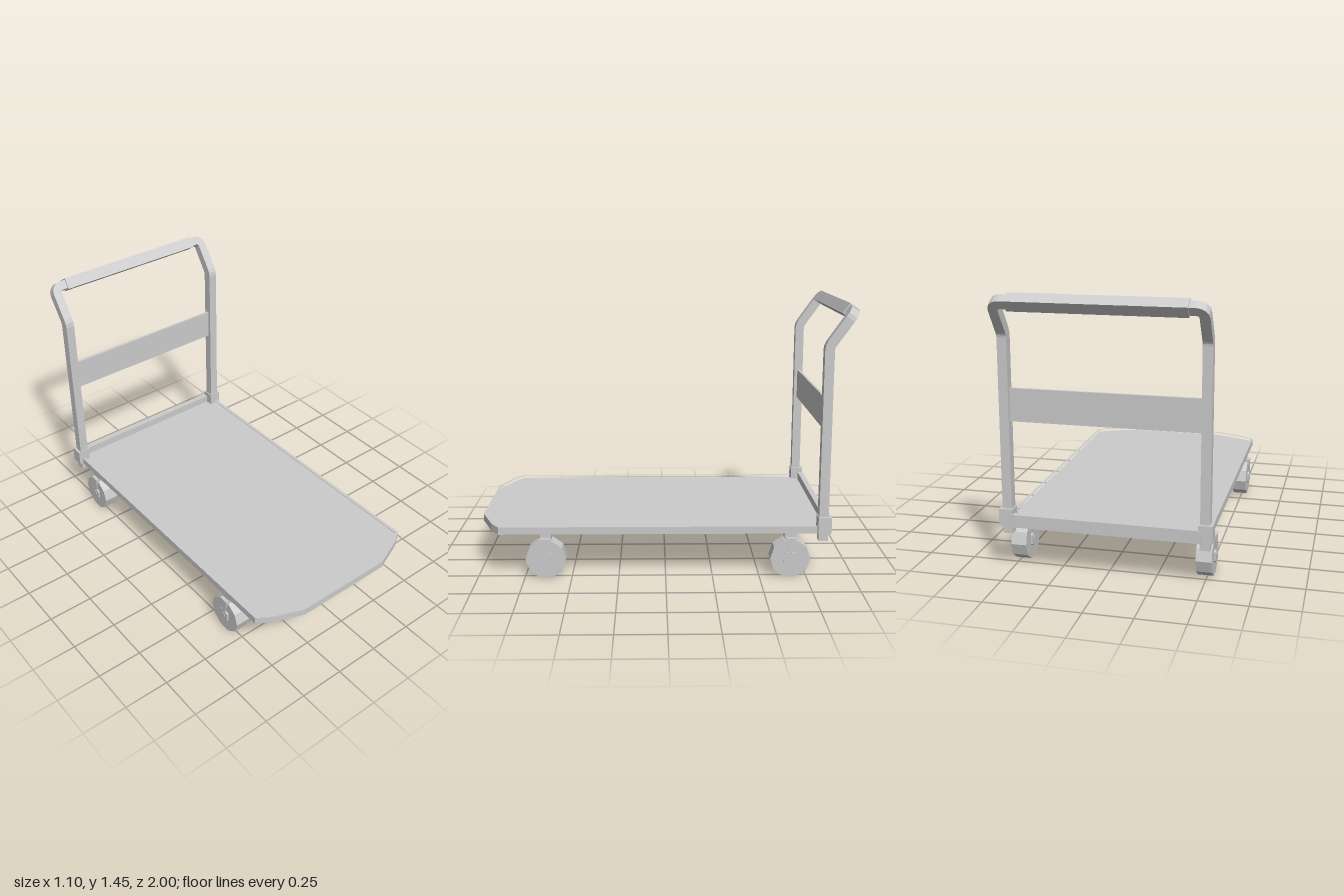
import * as THREE from 'three';

const grey = new THREE.MeshStandardMaterial({ color: 0xcccccc, flatShading: true });
const LEAN = 0.615; // backward tilt of the upper handle
const POST_X = 0.51, POST_Z = -0.835;

function part(name, geometry, x = 0, y = 0, z = 0) {
  const mesh = new THREE.Mesh(geometry, grey);
  mesh.name = name;
  mesh.position.set(x, y, z);
  return mesh;
}

const box = (name, w, h, d, x, y, z) => part(name, new THREE.BoxGeometry(w, h, d), x, y, z);

// Plan outline of the deck, pulled in by a margin
function deckOutline(m, front) {
  const half = [[0.527 - m, -0.865 + m], [0.527 - m, 0.885 - m * 0.5], [0.46 - m * 0.5, 0.93 - m], [0.285, 1 - front]];
  const mirrored = half.map(([x, z]) => [-x, z]).reverse();
  return [...half, ...mirrored].map(([x, z]) => new THREE.Vector2(x, -z));
}

function slab(shape, height) {
  return new THREE.ExtrudeGeometry(shape, { depth: height, bevelEnabled: false }).rotateX(-Math.PI / 2);
}

// Square tube swept through rings, each with a centre c and section axes u, v
function sweepSquare(rings, half) {
  const pos = [], index = [];
  for (const { c, u, v } of rings) {
    for (const [a, b] of [[1, -1], [1, 1], [-1, 1], [-1, -1]]) {
      const p = c.clone().addScaledVector(u, a * half).addScaledVector(v, b * half);
      pos.push(p.x, p.y, p.z);
    }
  }
  const last = (rings.length - 1) * 4;
  for (let i = 0; i < last; i += 4) {
    for (let k = 0; k < 4; k++) {
      const n = (k + 1) % 4;
      index.push(i + k, i + 4 + k, i + 4 + n, i + k, i + 4 + n, i + n);
    }
  }
  index.push(0, 1, 2, 0, 2, 3, last, last + 2, last + 1, last, last + 3, last + 2);
  const geometry = new THREE.BufferGeometry();
  geometry.setAttribute('position', new THREE.Float32BufferAttribute(pos, 3));
  geometry.setIndex(index);
  geometry.computeVertexNormals();
  return geometry;
}

// One bent tube: post, backward bend, rounded corner, then mirrored
function handleTube() {
  const X = new THREE.Vector3(1, 0, 0);
  const dir = a => new THREE.Vector3(0, Math.cos(a), -Math.sin(a));
  const normal = a => new THREE.Vector3(0, Math.sin(a), Math.cos(a));
  const half = [{ c: new THREE.Vector3(POST_X, 0.2, POST_Z), u: X, v: normal(0) }];
  const bendR = 0.06, bendY = 1.235 - bendR * Math.tan(LEAN / 2);
  for (let i = 0; i <= 2; i++) {
    const n = normal(LEAN * i / 2);
    half.push({ c: new THREE.Vector3(POST_X, bendY, POST_Z - bendR).addScaledVector(n, bendR), u: X, v: n });
  }
  const cornerR = 0.036, d = dir(LEAN), n = normal(LEAN);
  const centre = new THREE.Vector3(POST_X - cornerR, 1.235, POST_Z).addScaledVector(d, 0.208 - cornerR);
  for (let i = 0; i <= 4; i++) {
    const b = Math.PI / 2 * i / 4;
    const u = X.clone().multiplyScalar(Math.cos(b)).addScaledVector(d, Math.sin(b));
    half.push({ c: centre.clone().addScaledVector(u, cornerR), u, v: n });
  }
  const flip = p => new THREE.Vector3(-p.x, p.y, p.z);
  const other = half.map(r => ({ c: flip(r.c), u: flip(r.u), v: r.v })).reverse();
  return sweepSquare([...half, ...other], 0.025);
}

function caster(name, x, z) {
  const g = new THREE.Group();
  g.name = name;
  // Ten-sided wheel with a flat face on the floor
  g.add(part('wheel', new THREE.CylinderGeometry(0.107, 0.107, 0.082, 10).rotateZ(Math.PI / 2), 0, 0.102, 0));
  g.add(box('swivelMount', 0.062, 0.032, 0.062, 0, 0.224, 0));
  g.add(box('forkCrown', 0.1, 0.012, 0.052, 0, 0.212, 0));
  // Tapered fork arm ending in a chamfered axle boss
  const arm = [[0.027, 0.218], [0.025, 0.19], [0.012, 0.137], [0.026, 0.137], [0.034, 0.128], [0.034, 0.082], [0.024, 0.072]];
  const outline = [...arm, ...arm.map(([a, b]) => [-a, b]).reverse()].map(p => new THREE.Vector2(...p));
  for (const s of [-1, 1]) {
    const plate = new THREE.ExtrudeGeometry(new THREE.Shape(outline), { depth: 0.01, bevelEnabled: false });
    plate.translate(0, 0, -0.005).rotateY(Math.PI / 2);
    g.add(part('forkArm', plate, s * 0.046, 0, 0));
    g.add(part('axleEnd', new THREE.CylinderGeometry(0.018, 0.018, 0.004, 8).rotateZ(Math.PI / 2), s * 0.052, 0.105, 0));
  }
  g.position.set(x, 0, z);
  return g;
}

export function createModel() {
  const model = new THREE.Group();
  model.name = 'platformTrolley';

  // Deck: raised rim around a recessed floor
  const rim = new THREE.Shape(deckOutline(0, 0));
  rim.holes.push(new THREE.Path(deckOutline(0.016, 0.02)));
  model.add(part('deckRim', slab(rim, 0.04), 0, 0.24, 0));
  model.add(part('deckFloor', slab(new THREE.Shape(deckOutline(0.008, 0.01)), 0.022), 0, 0.241, 0));
  model.add(box('rearCrossbar', 0.98, 0.067, 0.03, 0, 0.2735, -0.862));

  // Handle
  model.add(part('handleTube', handleTube()));
  const grip = box('handleGrip', 0.88, 0.064, 0.064, 0, 1.235 + 0.208 * Math.cos(LEAN), POST_Z - 0.208 * Math.sin(LEAN));
  grip.rotation.x = -LEAN;
  model.add(grip);
  model.add(box('backPanel', 0.972, 0.17, 0.014, 0, 0.875, POST_Z));

  // Post sockets and casters on both sides
  for (const [side, s] of [['left', 1], ['right', -1]]) {
    model.add(box(side + 'PostSocket', 0.072, 0.09, 0.07, s * 0.514, 0.289, -0.84));
    model.add(caster(side + 'FrontCaster', s * 0.49, 0.637));
    model.add(caster(side + 'RearCaster', s * 0.49, -0.663));
  }
  return model;
}
